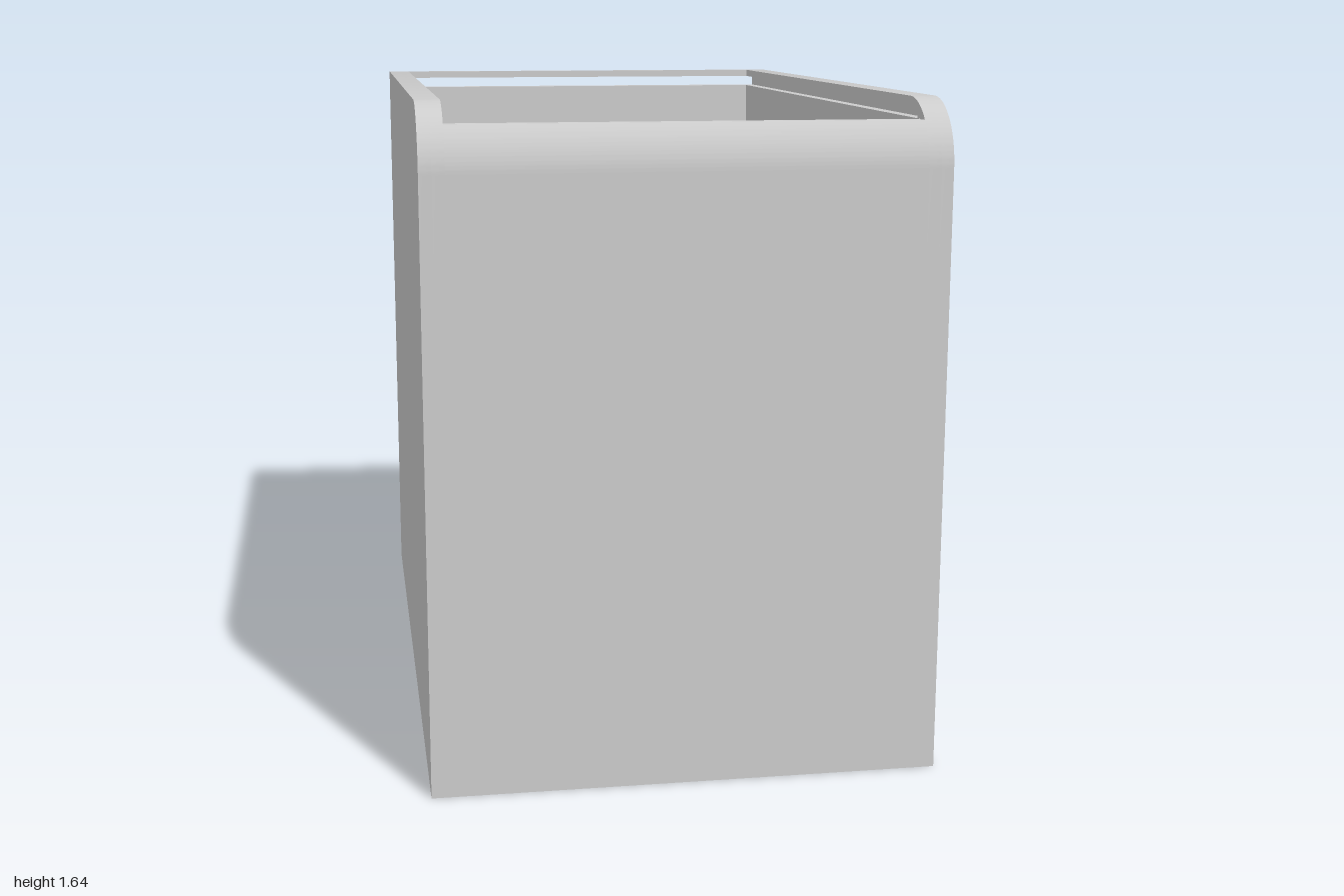
import * as THREE from 'three';
import { toCreasedNormals } from 'three/addons/utils/BufferGeometryUtils.js';

const TOP = 1.64, RIM = 1.59, SLOT = 1.62; // wall top, lid groove bottom and top
const OUT = 0.62, GROOVE = 0.59, IN = 0.56; // half widths: outside, groove, cavity
const R = 0.16, r = 0.02; // front and back edge roundings

export function createModel() {
  const group = new THREE.Group();
  const grey = new THREE.MeshStandardMaterial({ color: 0xcccccc });
  grey.name = 'grey plastic';

  // extrudes a (z, y) profile along x from x0 to x1
  function add(name, shape, x0, x1) {
    let geo = new THREE.ExtrudeGeometry(shape, { depth: x1 - x0, bevelEnabled: false, curveSegments: 20 });
    geo.rotateY(-Math.PI / 2).translate(x1, 0, 0);
    geo = toCreasedNormals(geo, 0.5);
    const mesh = new THREE.Mesh(geo, grey);
    mesh.name = name;
    group.add(mesh);
  }
  const polygon = (pts) => new THREE.Shape(pts.map(([z, y]) => new THREE.Vector2(z, y)));

  // side outline with a large front rounding; optionally cut by the lid groove
  function sideProfile(grooved) {
    const s = new THREE.Shape();
    s.moveTo(-1, 0);
    s.lineTo(1, 0);
    s.lineTo(1, TOP - R);
    s.absarc(1 - R, TOP - R, R, 0, Math.PI / 2, false);
    s.lineTo(-1 + r, TOP);
    s.absarc(-1 + r, TOP - r, r, Math.PI / 2, Math.PI, false);
    if (grooved) {
      s.lineTo(-1, SLOT);
      s.lineTo(0.9, SLOT);
      s.lineTo(0.9, RIM);
      s.lineTo(-1, RIM);
    }
    s.lineTo(-1, 0);
    return s;
  }

  // side walls: plain outer layer and grooved inner layer
  add('leftWall', sideProfile(false), GROOVE, OUT);
  add('rightWall', sideProfile(false), -OUT, -GROOVE);
  add('leftLidRail', sideProfile(true), IN, GROOVE);
  add('rightLidRail', sideProfile(true), -GROOVE, -IN);

  // floor and back wall below the lid slot
  add('floor', polygon([[-0.955, 0], [0.92, 0], [0.92, 0.05], [-0.955, 0.05]]), -IN, IN);
  add('backWall', polygon([[-1, 0], [-0.955, 0], [-0.955, RIM], [-1, RIM]]), -IN, IN);

  // front wall, lowered to the lid level, with a shallow seat in its rim
  const rimAngle = Math.asin((RIM - TOP + R) / R);
  const front = new THREE.Shape();
  front.moveTo(0.92, 0);
  front.lineTo(1, 0);
  front.lineTo(1, TOP - R);
  front.absarc(1 - R, TOP - R, R, 0, rimAngle, false);
  front.lineTo(0.945, RIM);
  front.lineTo(0.94, 1.565);
  front.lineTo(0.92, RIM);
  front.lineTo(0.92, 0);
  add('frontWall', front, -IN, IN);

  // bar above the lid slot at the back
  const bar = new THREE.Shape();
  bar.moveTo(-1, SLOT);
  bar.lineTo(-0.955, SLOT);
  bar.lineTo(-0.955, TOP);
  bar.lineTo(-1 + r, TOP);
  bar.absarc(-1 + r, TOP - r, r, Math.PI / 2, Math.PI, false);
  add('backBar', bar, -IN, IN);

  // low partition across the cavity
  add('divider', polygon([[-0.04, 0.05], [-0.02, 0.05], [-0.02, 0.8], [-0.04, 0.8]]), -IN, IN);

  return group;
}
